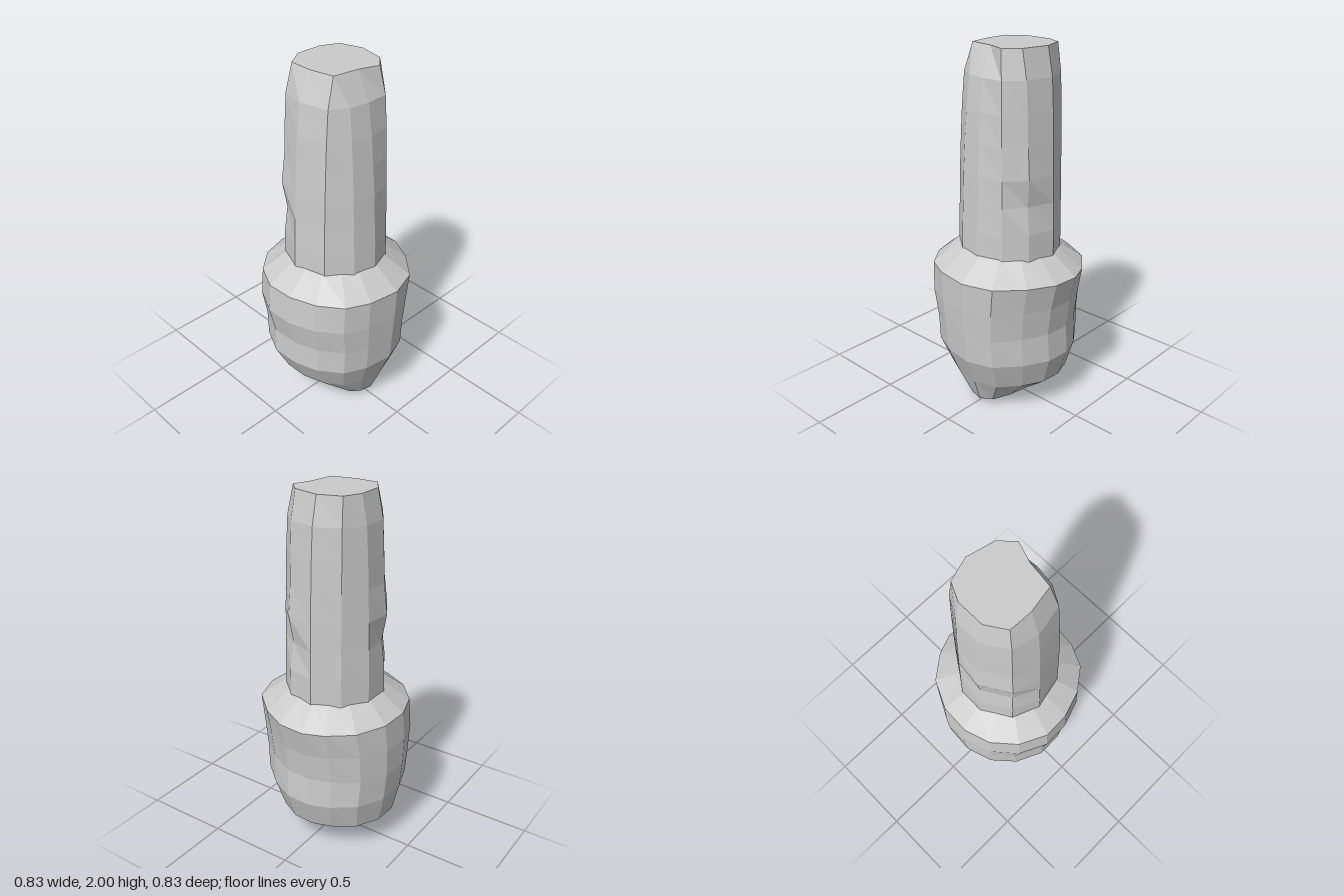
import * as THREE from 'three';

// Outlines as [x, z], clockwise seen from above, starting at the back.
const BODY = [[-.06, -.415], [.11, -.405], [.27, -.325], [.37, -.19], [.415, -.07], [.405, .08], [.33, .225], [.21, .36],
  [.045, .415], [-.135, .39], [-.265, .33], [-.36, .205], [-.41, .055], [-.415, -.1], [-.34, -.255], [-.215, -.365]];
const SHAFT = [[-.06, -.275], [.085, -.27], [.215, -.18], [.285, -.035], [.25, .12], [.155, .225],
  [.02, .275], [-.115, .25], [-.24, .15], [-.28, -.035], [-.22, -.18]];
const SHAFT_TOP = [[-.06, -.21], [.085, -.21], [.18, -.165], [.22, -.04], [.185, .11], [.11, .18],
  [0, .14], [-.08, .13], [-.14, .12], [-.165, -.02], [-.16, -.145]];

// Skin rings of [x, y, z] from bottom to top; the end points close the two ends.
function loft(name, rings, bottom, top) {
  const pos = [], n = rings[0].length;
  const tri = (...corners) => corners.forEach((p) => pos.push(...p));
  for (let r = 0; r < rings.length - 1; r++) {
    for (let i = 0; i < n; i++) {
      const j = (i + 1) % n, a = rings[r], b = rings[r + 1];
      tri(a[i], b[i], b[j]);
      tri(a[i], b[j], a[j]);
    }
  }
  const last = rings[rings.length - 1];
  for (let i = 0; i < n; i++) {
    const j = (i + 1) % n;
    if (bottom) tri(bottom, rings[0][i], rings[0][j]);
    if (top) tri(top, last[j], last[i]);
  }
  const geometry = new THREE.BufferGeometry();
  geometry.setAttribute('position', new THREE.Float32BufferAttribute(pos, 3));
  geometry.computeVertexNormals();
  const mesh = new THREE.Mesh(geometry, new THREE.MeshStandardMaterial({ color: 0xcccccc, flatShading: true }));
  mesh.name = name;
  return mesh;
}

// Point where a ray from the centre in direction (dx, dz) meets an outline.
function hit(outline, dx, dz) {
  for (let i = 0; i < outline.length; i++) {
    const [ax, az] = outline[i], [bx, bz] = outline[(i + 1) % outline.length];
    const ex = bx - ax, ez = bz - az, det = dx * ez - dz * ex;
    const t = (ax * ez - az * ex) / det, u = (ax * dz - az * dx) / det;
    if (t > 0 && u >= 0 && u <= 1) return [dx * t, dz * t];
  }
  return [dx * .65, dz * .65];
}

export function createModel() {
  const group = new THREE.Group();
  group.name = 'plug';

  // Bulbous body: [y, left x, right x, back z, front z, y slope in x, y slope in z]
  const levels = [
    [.065, -.165, .175, -.23, .27, 0, -.13],
    [.175, -.31, .32, -.36, .325, -.02, 0],
    [.335, -.39, .37, -.395, .388, -.02, 0],
    [.49, -.385, .36, -.41, .4, 0, 0],
    [.65, -.42, .38, -.412, .41, 0, 0],
    [.81, -.408, .415, -.4, .415, -.02, .01],
  ];
  const rings = levels.map(([y, x0, x1, z0, z1, sx, sz]) => BODY.map(([px, pz]) => {
    const x = px < 0 ? px / -.415 * x0 : px / .415 * x1;
    const z = pz < 0 ? pz / -.415 * z0 : pz / .415 * z1;
    return [x, y + sx * x + sz * z, z];
  }));
  // Sloping shoulder ends on the outline of the shaft
  rings.push(BODY.map(([px, pz]) => {
    const [x, z] = hit(SHAFT, px, pz);
    return [x, .915 - .03 * x + .03 * z, z];
  }));
  group.add(loft('body', rings, [-.02, 0, .22], [0, .915, 0]));

  // Tapered shaft: [y, blend towards the top outline]
  const steps = [[.88, 0], [1.05, .04], [1.2, .1], [1.35, .15], [1.52, .24], [1.68, .34], [1.85, .5], [2, 1]];
  const shaft = steps.map(([y, t]) => SHAFT.map(([x, z], i) => {
    // Shallow nicks at the back right and the front left
    let s = 1;
    if (i === 10 || i === 0) s = y === 1.2 ? .95 : y === 1.35 ? 1.05 : 1;
    if (i === 4) s = y === 1.2 ? .93 : y === 1.35 ? 1.03 : 1;
    const [tx, tz] = SHAFT_TOP[i];
    return [(x + (tx - x) * t) * s, y, (z + (tz - z) * t) * s];
  }));
  group.add(loft('shaft', shaft, null, [.02, 2, -.02]));

  return group;
}
